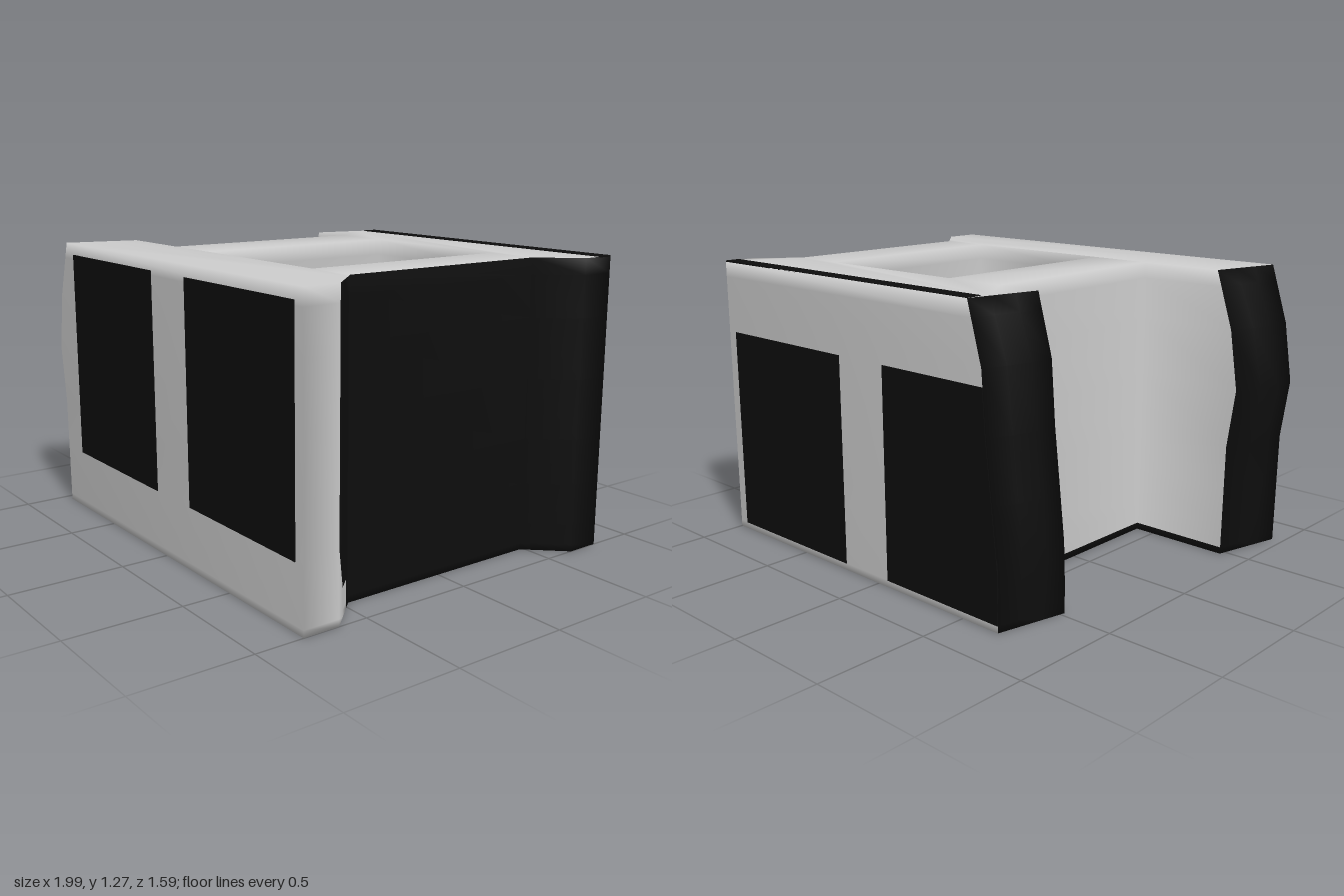
import * as THREE from 'three';
import { mergeVertices } from 'three/addons/utils/BufferGeometryUtils.js';

const HEIGHT = 1.27;
const LEVELS = [0, 0.03, 0.12, 0.3, 0.5, 0.76, 1.02, 1.2, HEIGHT];

// End profiles of the two slabs: [height, x]
const FRONT_END = [[0, -0.95], [0.5, -0.955], [0.76, -0.99], [1.02, -0.95], [HEIGHT, -0.87]];
const BACK_END = [[0, -0.69], [0.24, -0.69], [0.76, -0.63], [1.02, -0.61], [HEIGHT, -0.54]];

function sample(table, y) {
  for (let i = 1; i < table.length; i++) {
    const [y0, x0] = table[i - 1], [y1, x1] = table[i];
    if (y <= y1) return x0 + (x1 - x0) * (y - y0) / (y1 - y0);
  }
  return table[table.length - 1][1];
}

// Slanted slab ends that bulge at mid height
function endX(y, z) {
  const bulge = Math.sin(Math.PI * y / HEIGHT);
  if (z > 0) {
    const t = (0.79 - z) / 0.32;
    return sample(FRONT_END, y) + 0.08 * t - 0.035 * bulge * Math.sin(Math.PI * t);
  }
  const t = (z + 0.79) / 0.31;
  return sample(BACK_END, y) - 0.07 * t - 0.03 * bulge * Math.sin(Math.PI * t);
}

// Which side faces are dark: slab ends, outer side recess, lower inner trim
function isDark(c, n, allLeft) {
  if (Math.abs(n.y) > 0.9) return false;
  if (allLeft && n.x < -0.5) return true;
  if (c.x > 0.84 && n.x > 0.3) {
    const limit = c.y < 0.12 ? 0.51 : Math.min(0.63, 0.51 + (c.y - 0.12) * 0.67);
    return c.z < limit;
  }
  return c.y < 0.03 && Math.abs(c.z) < 0.5;
}

function bodyGeometry() {
  const frontZ = [0.79, 0.68, 0.58, 0.47], backZ = [-0.48, -0.58, -0.69, -0.79];
  const plan = [
    [1, 0.79], ...frontZ.map(z => [endX(0, z), z]),
    [-0.41, 0.47], [-0.41, -0.48],
    ...backZ.map(z => [endX(0, z), z]),
    [1, -0.79], [1, -0.64], [0.85, -0.48],
    [0.85, 0.47], [0.8875, 0.51], [0.94375, 0.57], [1, 0.63],
  ];
  const toPoints = list => list.map(([x, z]) => new THREE.Vector2(x, -z));
  const shape = new THREE.Shape(toPoints(plan));
  shape.holes.push(new THREE.Path(toPoints([[-0.13, 0.47], [0.62, 0.47], [0.62, -0.48], [-0.13, -0.48]])));

  const steps = LEVELS.length - 1;
  let geo = new THREE.ExtrudeGeometry(shape, { depth: steps, steps, bevelEnabled: false });
  geo.rotateX(-Math.PI / 2);
  const p = geo.attributes.position;
  for (let i = 0; i < p.count; i++) {
    const y = LEVELS[Math.round(p.getY(i))];
    p.setY(i, y);
    if (p.getX(i) < -0.5) p.setX(i, endX(y, p.getZ(i)));
  }

  // Weld for smooth shading
  geo.deleteAttribute('uv');
  geo.deleteAttribute('normal');
  geo.clearGroups();
  geo = mergeVertices(geo, 1e-4);
  geo.computeVertexNormals();

  // Sort faces into a light and a dark group
  const light = [], dark = [], index = geo.index.array;
  const tri = new THREE.Triangle(), c = new THREE.Vector3(), n = new THREE.Vector3();
  for (let i = 0; i < index.length; i += 3) {
    const f = [index[i], index[i + 1], index[i + 2]];
    tri.setFromAttributeAndIndices(geo.attributes.position, ...f);
    tri.getMidpoint(c);
    tri.getNormal(n);
    const allLeft = Math.max(tri.a.x, tri.b.x, tri.c.x) < -0.5;
    (isDark(c, n, allLeft) ? dark : light).push(...f);
  }
  geo.setIndex([...light, ...dark]);
  geo.addGroup(0, light.length, 0);
  geo.addGroup(light.length, dark.length, 1);
  return geo;
}

export function createModel() {
  const group = new THREE.Group();
  const pale = new THREE.MeshStandardMaterial({ color: 0xcccccc });
  pale.name = 'pale grey';
  const black = new THREE.MeshStandardMaterial({ color: 0x0d0d0d });
  black.name = 'black';

  function add(name, geo, material) {
    const mesh = new THREE.Mesh(geo, material);
    mesh.name = name;
    group.add(mesh);
    return mesh;
  }

  // Hollow body with front and back slabs
  add('body', bodyGeometry(), [pale, black]);

  // Front panels
  for (const [name, x] of [['frontRightPanel', -0.43], ['frontLeftPanel', 0.58]]) {
    add(name, new THREE.BoxGeometry(0.74, 0.945, 0.006), black).position.set(x, 0.7475, 0.79);
  }

  // Back panels, the outer one following the slab end
  add('backLeftPanel', new THREE.BoxGeometry(0.74, 0.92, 0.006), black).position.set(0.58, 0.49, -0.79);
  const cut = [0.03, 0.24, 0.76, 0.95].map(y => new THREE.Vector2(sample(BACK_END, y), y));
  const outline = new THREE.Shape([new THREE.Vector2(-0.06, 0.95), new THREE.Vector2(-0.06, 0.03), ...cut]);
  const cutPanel = new THREE.ExtrudeGeometry(outline, { depth: 0.006, bevelEnabled: false });
  add('backRightPanel', cutPanel, black).position.z = -0.793;

  // Dark strip along the top of the back slab
  add('backTopStrip', new THREE.BoxGeometry(1.54, 0.006, 0.07), black).position.set(0.23, HEIGHT, -0.755);

  return group;
}
